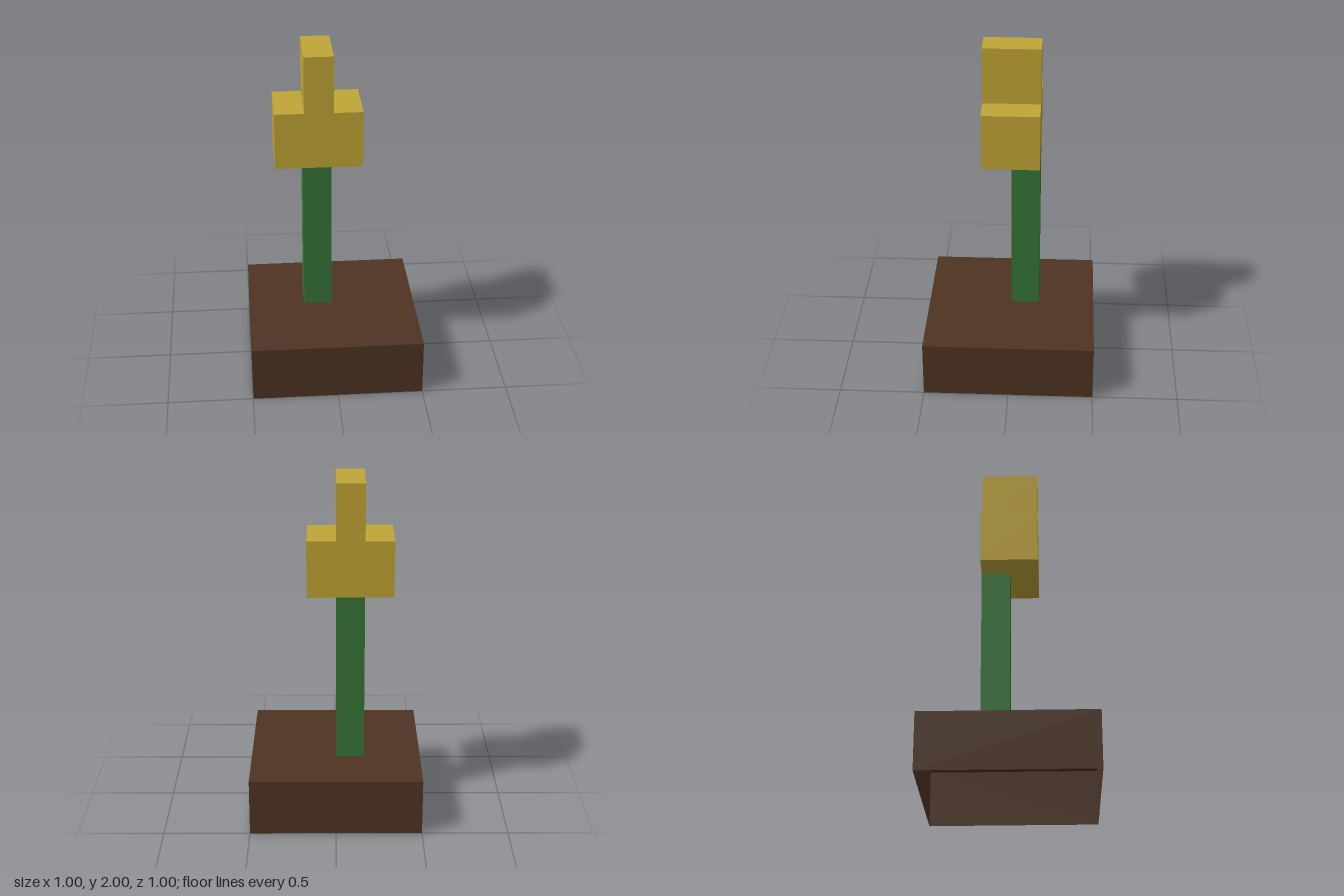
import * as THREE from 'three';

const U = 1 / 6; // block grid unit

function addPart(group, name, geometry, material, x, y, z) {
  const mesh = new THREE.Mesh(geometry, material);
  mesh.name = name;
  mesh.position.set(x, y, z);
  group.add(mesh);
}

export function createModel() {
  const group = new THREE.Group();
  group.name = 'blockFlower';

  const soil = new THREE.MeshStandardMaterial({ color: 0x4e3322, side: THREE.DoubleSide });
  soil.name = 'soilBrown';
  const green = new THREE.MeshStandardMaterial({ color: 0x357536 });
  green.name = 'stemGreen';
  const yellow = new THREE.MeshStandardMaterial({ color: 0xc1a535 });
  yellow.name = 'petalYellow';

  // Soil block: thin shell, open underneath (bottom face dropped)
  const base = new THREE.BoxGeometry(6 * U, 2 * U, 6 * U);
  const index = Array.from(base.index.array);
  index.splice(18, 6);
  base.setIndex(index);
  base.clearGroups();
  addPart(group, 'soilBlock', base, soil, 0, U, 0);

  // Stem
  addPart(group, 'stem', new THREE.BoxGeometry(U, 6 * U, U), green, -U / 2, 5 * U, -U / 2);

  // Flower head: stepped outline extruded front to back
  const outline = [[-2, 8], [1, 8], [1, 10], [0, 10], [0, 12], [-1, 12], [-1, 10], [-2, 10]];
  const shape = new THREE.Shape(outline.map(([x, y]) => new THREE.Vector2(x * U, y * U)));
  const head = new THREE.ExtrudeGeometry(shape, { depth: 2 * U, bevelEnabled: false });
  addPart(group, 'flowerHead', head, yellow, 0, 0, -U);

  return group;
}
